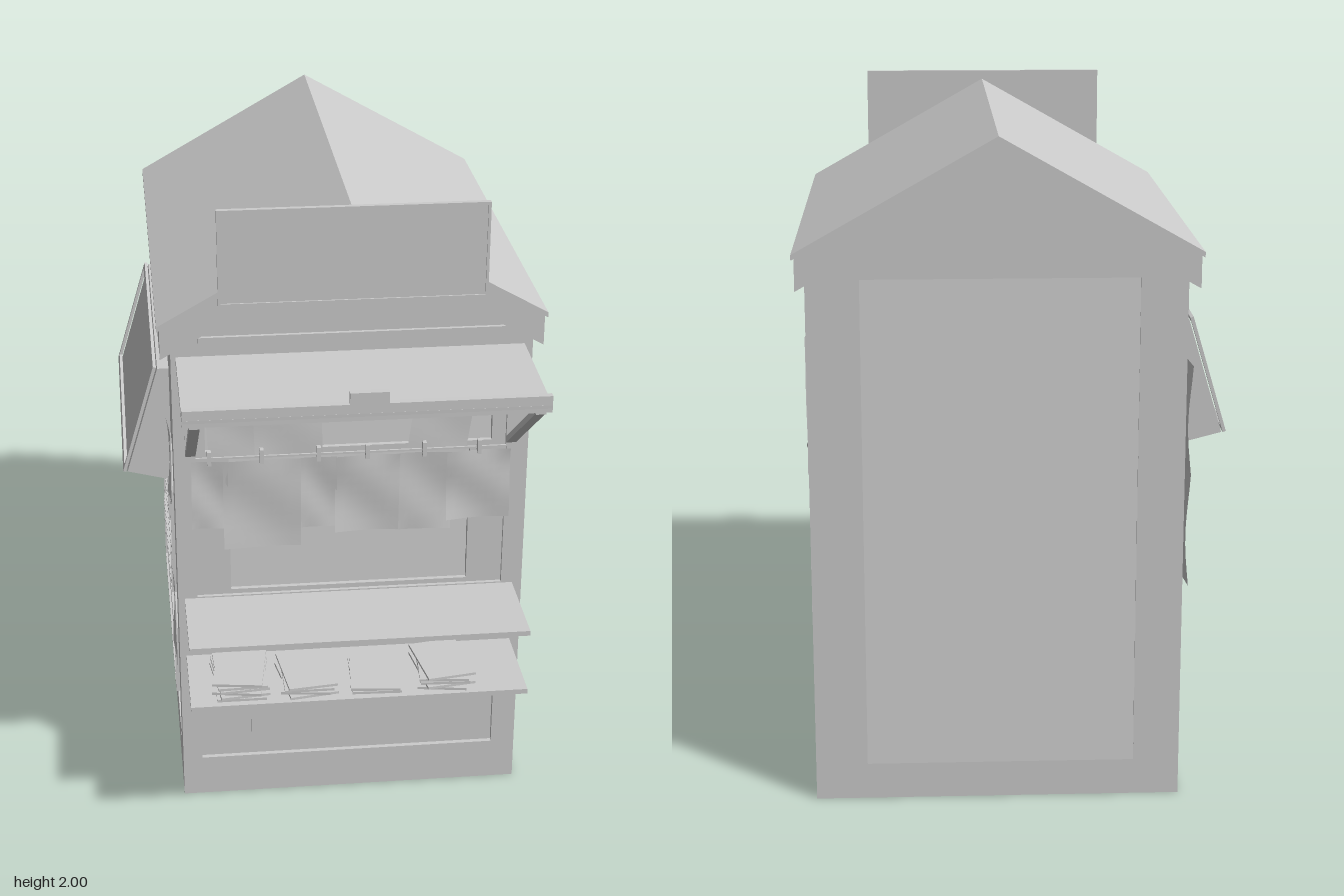
import * as THREE from 'three';

const mat = new THREE.MeshStandardMaterial({ color: 0xcccccc, side: THREE.DoubleSide });
const X0 = -0.48, X1 = 0.595, CX = 0.055, Z0 = -0.89, Z1 = 0.51;

function add(parent, name, geometry) {
  const m = new THREE.Mesh(geometry, mat);
  m.name = name;
  parent.add(m);
  return m;
}

// Box given by its limits on each axis
function box(parent, name, x0, x1, y0, y1, z0, z1) {
  const m = add(parent, name, new THREE.BoxGeometry(x1 - x0, y1 - y0, z1 - z0));
  m.position.set((x0 + x1) / 2, (y0 + y1) / 2, (z0 + z1) / 2);
  return m;
}

const rect = (x0, x1, y0, y1) => [[x0, y0], [x1, y0], [x1, y1], [x0, y1]];

// Flat plate with holes, front surface at local z = front
function plate(parent, name, points, holes, depth, front = 0) {
  const v = p => p.map(([x, y]) => new THREE.Vector2(x, y));
  const s = new THREE.Shape(v(points));
  for (const h of holes) s.holes.push(new THREE.Path(v(h)));
  const m = add(parent, name, new THREE.ExtrudeGeometry(s, { depth, bevelEnabled: false }));
  m.position.z = front - depth;
  return m;
}

// Rectangular border standing on a surface
function frame(parent, name, x0, x1, y0, y1, w, depth, front) {
  return plate(parent, name, rect(x0, x1, y0, y1),
    [rect(x0 + w, x1 - w, y0 + w, y1 - w)], depth, front);
}

// Slightly wavy paper sheet
function sheet(parent, name, x0, x1, y0, y1, z = 0.004, amp = 0.008, tilt = 0) {
  const w = x1 - x0, h = y1 - y0;
  const g = new THREE.PlaneGeometry(w, h, 8, 8), p = g.attributes.position;
  for (let i = 0; i < p.count; i++) {
    const u = p.getX(i) / w * 2, v = p.getY(i) / h * 2;
    p.setZ(i, amp * (0.5 * u * u * v * v + 0.25 + 0.25 * Math.sin(3 * v + 2 * u + x0 * 20)));
  }
  g.computeVertexNormals();
  const m = add(parent, name, g);
  m.position.set((x0 + x1) / 2, (y0 + y1) / 2, z);
  m.rotation.z = tilt;
}

// Straight square strut in the y-z plane
function strut(parent, name, x, za, ya, zb, yb, w, t) {
  const m = add(parent, name, new THREE.BoxGeometry(w, t, Math.hypot(zb - za, yb - ya)));
  m.position.set(x, (ya + yb) / 2, (za + zb) / 2);
  m.rotation.x = -Math.atan2(yb - ya, zb - za);
}

// Overlapping boards, lower edge leaning outwards
function boards(parent, name, x0, x1, y0, y1, step, z) {
  for (let y = y0; y < y1 - 0.02; y += step) {
    const top = Math.min(y + step, y1);
    box(parent, name, x0, x1, y, top, z - 0.012, z).rotation.x = -0.08;
  }
}

// Each wall has its own frame: local x runs along it, local z points outwards
function side(root, name, x, z, turn) {
  const g = new THREE.Group();
  g.name = name;
  g.position.set(x, 0, z);
  g.rotation.y = turn;
  root.add(g);
  return g;
}

function buildFront(g) {
  plate(g, 'frontWall', [[X0, 0], [X1, 0], [X1, 1.56], [CX, 1.87], [X0, 1.56]],
    [rect(-0.42, 0.52, 0.135, 0.505), rect(-0.42, 0.53, 0.73, 1.5)], 0.03);
  // lower panel
  box(g, 'lowerPanel', -0.42, 0.52, 0.135, 0.505, -0.03, -0.015);
  box(g, 'raisedPanel', -0.26, 0.365, 0.185, 0.355, -0.015, -0.005);
  // serving hatch with slatted shutter
  plate(g, 'hatchFrame', rect(-0.42, 0.53, 0.73, 1.5),
    [rect(-0.315, 0.42, 0.745, 1.2), rect(-0.385, 0.485, 1.22, 1.48)], 0.02, -0.012);
  boards(g, 'shutterSlat', -0.4, 0.5, 0.74, 1.49, 0.094, -0.03);
  box(g, 'gableTrim', -0.4, 0.51, 1.575, 1.6, 0, 0.012);
  sheet(g, 'pinnedPaper', -0.38, -0.22, 1.2, 1.4, -0.008, 0.006, 0.06);
  sheet(g, 'pinnedPaper', -0.24, -0.035, 1.2, 1.455, -0.006, 0.006, 0.03);
  sheet(g, 'pinnedPaper', 0.24, 0.42, 1.19, 1.42, -0.006, 0.006, -0.14);
  // papers clipped along a line
  box(g, 'paperLine', -0.44, 0.55, 1.205, 1.211, 0.006, 0.012);
  [[-0.43, -0.32, 0.975], [-0.335, -0.1, 0.905], [-0.1, 0.01, 0.965],
    [0.005, 0.2, 0.945], [0.19, 0.36, 0.94], [0.345, 0.54, 0.97]].forEach(([a, b, y], i) => {
    sheet(g, 'hangingPaper', a, b, y, 1.2, 0.008 + 0.003 * (i % 2), 0.014, 0.01 * (i % 3 - 1));
    box(g, 'clip', (a + b) / 2 - 0.006, (a + b) / 2 + 0.006, 1.19, 1.235, 0.004, 0.024);
  });
  // canopy
  strut(g, 'canopyRoof', 0.0525, 0, 1.528, 0.41, 1.512, 1.035, 0.02);
  box(g, 'canopyLip', -0.465, 0.57, 1.5, 1.55, 0.39, 0.41);
  box(g, 'canopyTab', 0, 0.11, 1.535, 1.585, 0.392, 0.412);
  for (const x of [-0.43, 0.54]) {
    box(g, 'canopyRail', x - 0.015, x + 0.015, 1.49, 1.508, 0, 0.4);
    strut(g, 'canopyBrace', x, 0.005, 1.225, 0.385, 1.495, 0.03, 0.018);
    box(g, 'canopyPost', x - 0.015, x + 0.015, 1.21, 1.5, 0, 0.012);
  }
  // hanging lamp
  const bulb = [[0, 0], [0.016, 0.004], [0.024, 0.02], [0.02, 0.036], [0.01, 0.052], [0.01, 0.07], [0.004, 0.085], [0, 0.09]];
  add(g, 'lampBulb', new THREE.LatheGeometry(bulb.map(p => new THREE.Vector2(...p)), 16)).position.set(0.015, 1.42, 0.19);
  box(g, 'lampMount', -0.02, 0.05, 1.495, 1.51, 0.17, 0.21);
  // shelves with curved and straight brackets
  for (const y of [0.718, 0.513]) box(g, 'shelf', -0.46, 0.565, y - 0.008, y + 0.008, 0, 0.3);
  for (const x of [-0.435, 0.052, 0.535]) {
    const curve = new THREE.QuadraticBezierCurve3(new THREE.Vector3(x, 0.712, 0.19),
      new THREE.Vector3(x, 0.7, 0.08), new THREE.Vector3(x, 0.55, 0.008));
    add(g, 'curvedBracket', new THREE.TubeGeometry(curve, 10, 0.009, 6));
    strut(g, 'upperBracket', x, 0, 0.57, 0.14, 0.71, 0.02, 0.01);
    strut(g, 'lowerBracket', x, 0, 0.37, 0.16, 0.506, 0.018, 0.013);
    box(g, 'bracketPlate', x - 0.01, x + 0.01, 0.36, 0.506, 0, 0.01);
    box(g, 'bracketPlate', x - 0.01, x + 0.01, 0.55, 0.71, 0, 0.01);
  }
  // stacked magazines
  [[-0.305, 6], [-0.1, 4], [0.11, 2], [0.32, 5]].forEach(([x, n], s) => {
    for (let i = 0; i < n; i++) {
      const m = box(g, 'magazine', x - 0.075, x + 0.075, 0.522 + i * 0.01, 0.53 + i * 0.01, 0.07, 0.28);
      m.rotation.y = 0.16 * Math.sin(i * 2.3 + s * 1.7);
    }
  });
}

function buildRight(g) {
  // local x = -z
  plate(g, 'rightWall', rect(-Z1, -Z0, 0, 1.56), [rect(0.21, 0.81, 0.11, 1.535)], 0.03);
  box(g, 'doorPost', 0.172, 0.206, 0, 1.545, 0, 0.012);
  plate(g, 'door', rect(0.21, 0.81, 0.11, 1.535), [rect(0.245, 0.56, 1, 1.51)], 0.025, -0.005);
  box(g, 'doorWindow', 0.245, 0.56, 1, 1.51, -0.03, -0.018);
  frame(g, 'hatchFrame', 0.395, 0.625, 0.215, 0.495, 0.012, 0.017, 0.009);
  box(g, 'petHatch', 0.407, 0.613, 0.227, 0.483, -0.005, 0.001);
  // knob and handle
  add(g, 'doorKnob', new THREE.SphereGeometry(0.02, 16, 12)).position.set(0.258, 0.91, 0.02);
  const pull = new THREE.CatmullRomCurve3([[0.86, 0], [0.845, 0.016], [0.8, 0.018], [0.775, 0]]
    .map(([y, z]) => new THREE.Vector3(0.262, y, z)));
  add(g, 'doorPull', new THREE.TubeGeometry(pull, 12, 0.005, 8));
  // posters
  [[-0.345, -0.105, 1.21, 1.52], [-0.1, 0.17, 1.19, 1.54], [-0.165, 0.13, 0.79, 1.19],
    [-0.37, -0.16, 0.77, 1.19], [-0.34, 0.11, 0.16, 0.76], [0.59, 0.78, 0.97, 1.38],
    [0.315, 0.77, 0.545, 0.915]].forEach(([a, b, c, d], i) =>
    sheet(g, 'poster', a, b, c, d, 0.002 + 0.001 * (i % 3), 0.01));
}

function buildLeft(g) {
  // local x = z
  plate(g, 'leftWall', rect(Z0, Z1, 0, 1.56), [rect(-0.79, 0.38, 0.13, 1.46)], 0.03);
  box(g, 'leftInset', -0.79, 0.38, 0.13, 1.46, -0.03, -0.012);
  [[-0.67, 0.27, 0.24, 0.48], [-0.57, 0.14, 0.54, 0.72], [-0.66, 0.02, 0.77, 0.95], [0.06, 0.32, 0.76, 1.0]]
    .forEach(([a, b, c, d]) => {
      box(g, 'leftPanel', a, b, c, d, -0.012, 0.003);
      frame(g, 'leftPanelFrame', a, b, c, d, 0.012, 0.022, 0.01);
    });
  for (let y = 0.2; y < 1.5; y += 0.19) box(g, 'innerRib', -0.8, 0.42, y, y + 0.015, -0.045, -0.03);
  // raised display flap
  const wedge = new THREE.Shape([[0, 1.395], [0.035, 1.395], [0.138, 1.05], [0.022, 1.02], [0, 1.02]]
    .map(p => new THREE.Vector2(...p)));
  const m = add(g, 'displayFlap', new THREE.ExtrudeGeometry(wedge, { depth: 0.91, bevelEnabled: false }));
  m.rotation.y = -Math.PI / 2;
  m.position.x = 0.26;
  const lid = new THREE.Group();
  lid.name = 'flapLid';
  lid.position.set(0, 1.4, 0.04);
  lid.rotation.x = -0.29;
  g.add(lid);
  frame(lid, 'flapBorder', -0.65, 0.262, -0.365, 0, 0.016, 0.01, 0.008);
  [[-0.905, -0.62, 1.0, 1.32], [-0.9, -0.63, 0.66, 1.0], [0.3, 0.49, 1.0, 1.25], [0.28, 0.5, 0.45, 0.74]]
    .forEach(([a, b, c, d]) => sheet(g, 'poster', a, b, c, d, 0.004, 0.012, 0.02));
}

function buildBack(g) {
  // local x = -x
  plate(g, 'backWall', [[-X1, 0], [-X0, 0], [-X0, 1.56], [-CX, 1.87], [-X1, 1.56]],
    [rect(-0.443, 0.345, 0.11, 1.57)], 0.03);
  boards(g, 'sidingBoard', -0.443, 0.345, 0.11, 1.57, 0.188, -0.004);
}

function buildRoof(root) {
  const chevron = (half, eave, peak, t) => [[CX - half, eave], [CX, peak], [CX + half, eave],
    [CX + half, eave - t], [CX, peak - t], [CX - half, eave - t]];
  plate(root, 'roofFascia', chevron(0.566, 1.643, 1.96, 0.1), [], 1.455, 0.538);
  plate(root, 'roofCover', chevron(0.574, 1.648, 1.972, 0.016), [], 1.47, 0.545);
}

export function createModel() {
  const root = new THREE.Group();
  root.name = 'kiosk';
  buildFront(side(root, 'frontSide', 0, Z1, 0));
  buildRight(side(root, 'rightSide', X1, 0, Math.PI / 2));
  buildLeft(side(root, 'leftSide', X0, 0, -Math.PI / 2));
  buildBack(side(root, 'backSide', 0, Z0, Math.PI));
  buildRoof(root);
  // sign board
  box(root, 'signBoard', -0.34, 0.445, 1.71, 2, 0.545, 0.556);
  frame(root, 'signBorder', -0.34, 0.445, 1.71, 2, 0.008, 0.008, 0.561);
  return root;
}
